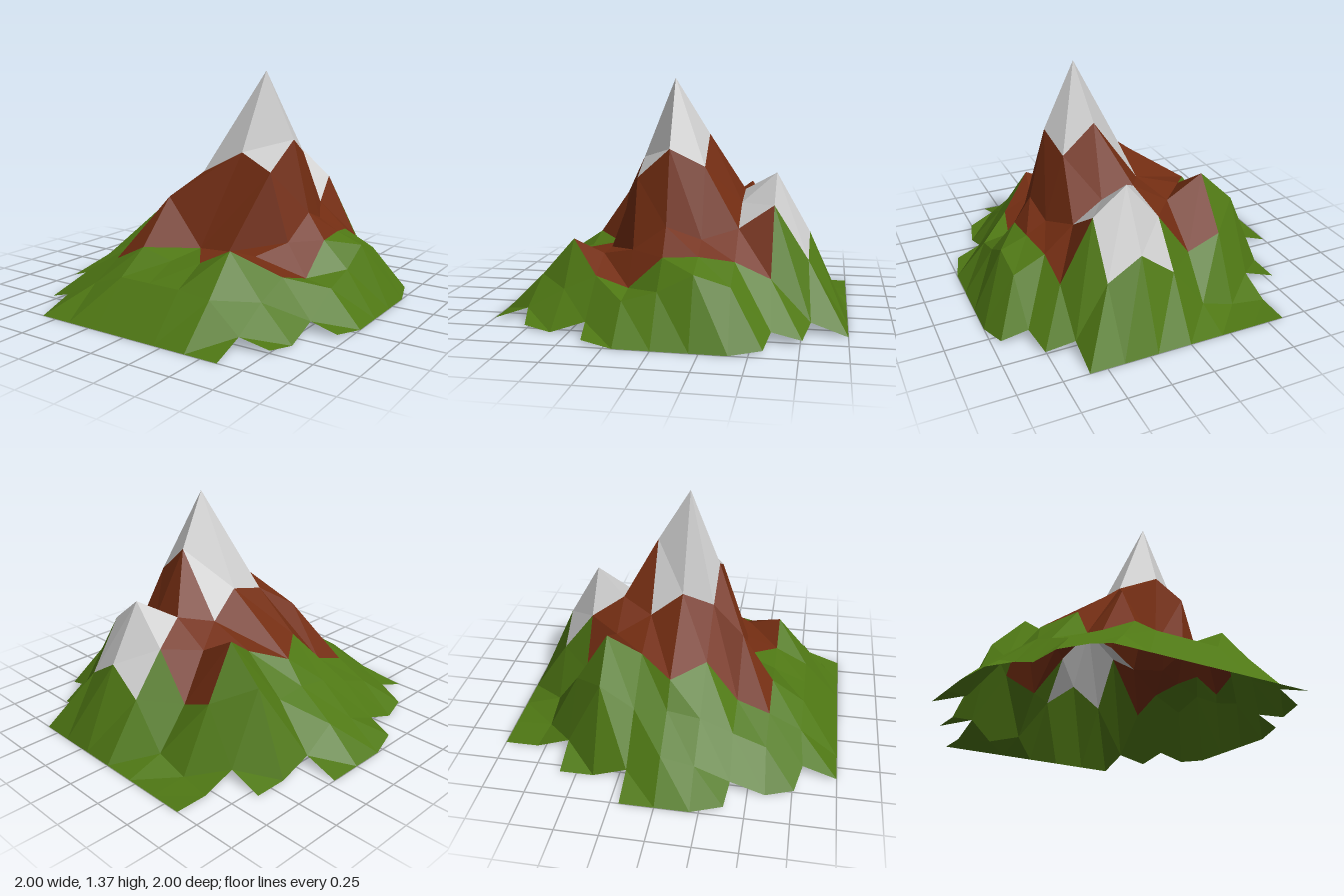
import * as THREE from 'three';

// Ground cover of each 0.2 cell, back to front: g grass, r rock, s snow, '.' none,
// h rock in the back half, f rock in the back half with the other diagonal
const cover = [
  '..gggggg..',
  '..gggssgg.',
  '.ggrrssrgg',
  '.ggrrrrrgg',
  'gggrssrrgg',
  'gggrssrrgg',
  'gggrrrrrgg',
  '.ggrhfrhg.',
  '.gggggggg.',
  '..gggggg..',
];

// Height profiles inside the outline, back to front, each running left to right
const profiles = [
  [0.01, 0.07, 0.335, 0.49, 0.366],
  [0.39, 0.31, 0.59, 0.83, 0.67, 0.3],
  [0.49, 0.7, 0.57, 0.71, 0.66, 0.54, 0.39, 0.3],
  [0.34, 0.56, 0.66, 1.05, 0.88, 0.49, 0.42, 0.36],
  [0.19, 0.35, 0.49, 0.81, 1.37, 0.98, 0.56, 0.41, 0.26],
  [0.15, 0.32, 0.545, 0.77, 0.91, 0.81, 0.42, 0.23, 0.2],
  [0.25, 0.33, 0.64, 0.36, 0.37, 0.37, 0.28],
  [0.18, 0.27, 0.37, 0.32, 0.34, 0.44, 0.19],
  [0.17, 0.24, 0.24, 0.24, 0.22],
];

const filled = (i, j) => (cover[j]?.[i] ?? '.') !== '.';

// Number of filled cells that meet at a grid corner
const cellsAt = (i, j) =>
  [filled(i - 1, j - 1), filled(i, j - 1), filled(i - 1, j), filled(i, j)].filter(Boolean).length;

function outlinePoint(i, j, cells) {
  // Outer corners are drawn in, inner corners are lifted off the ground
  const rounded = cells === 1 && j % 10 !== 0 && (i > 5 || j > 5);
  const scale = rounded ? 0.95 : 1;
  return [(i / 5 - 1) * scale, cells === 3 ? 0.07 : rounded ? 0.02 : 0, (j / 5 - 1) * scale];
}

function slopePoint(i, j, y) {
  // The slopes lean towards +x, most of all around the summit
  const z = (j / 5 - 1) * 0.97;
  const lean = 0.28 * Math.exp(-(((i - 5.4) / 2.2) ** 2) - Math.abs(z / 0.35) ** 3);
  const spur = i === 3 && j === 5 ? -0.15 : 0;
  return [i / 5 - 1 + lean + spur, y, z];
}

function buildGrid() {
  const grid = [];
  for (let j = 0; j <= 10; j++) {
    let next = 0;
    grid.push(Array.from({ length: 11 }, (_, i) => {
      const cells = cellsAt(i, j);
      return cells === 4 ? slopePoint(i, j, profiles[j - 1][next++]) : outlinePoint(i, j, cells);
    }));
  }
  return grid;
}

export function createModel() {
  const group = new THREE.Group();
  group.name = 'mountain';
  const grid = buildGrid();
  const layers = {
    g: { name: 'grassSlopes', color: 0x4f7814, corners: [] },
    r: { name: 'rockFaces', color: 0x732d12, corners: [] },
    s: { name: 'snowCaps', color: 0xcccccc, corners: [] },
  };

  // Two triangles per cell, sorted by cover
  cover.forEach((row, j) => [...row].forEach((kind, i) => {
    if (kind === '.') return;
    const a = grid[j][i], b = grid[j + 1][i], c = grid[j + 1][i + 1], d = grid[j][i + 1];
    const mixed = kind === 'h' || kind === 'f';
    const upper = layers[mixed ? 'r' : kind].corners;
    const lower = layers[mixed ? 'g' : kind].corners;
    if (kind === 'f') {
      upper.push(...a, ...c, ...d);
      lower.push(...a, ...b, ...c);
    } else {
      upper.push(...a, ...b, ...d);
      lower.push(...b, ...c, ...d);
    }
  }));

  // One faceted open shell per cover
  for (const { name, color, corners } of Object.values(layers)) {
    const geometry = new THREE.BufferGeometry();
    geometry.setAttribute('position', new THREE.Float32BufferAttribute(corners, 3));
    geometry.computeVertexNormals();
    const material = new THREE.MeshStandardMaterial({ color, flatShading: true, side: THREE.DoubleSide });
    const mesh = new THREE.Mesh(geometry, material);
    mesh.name = name;
    group.add(mesh);
  }
  return group;
}
